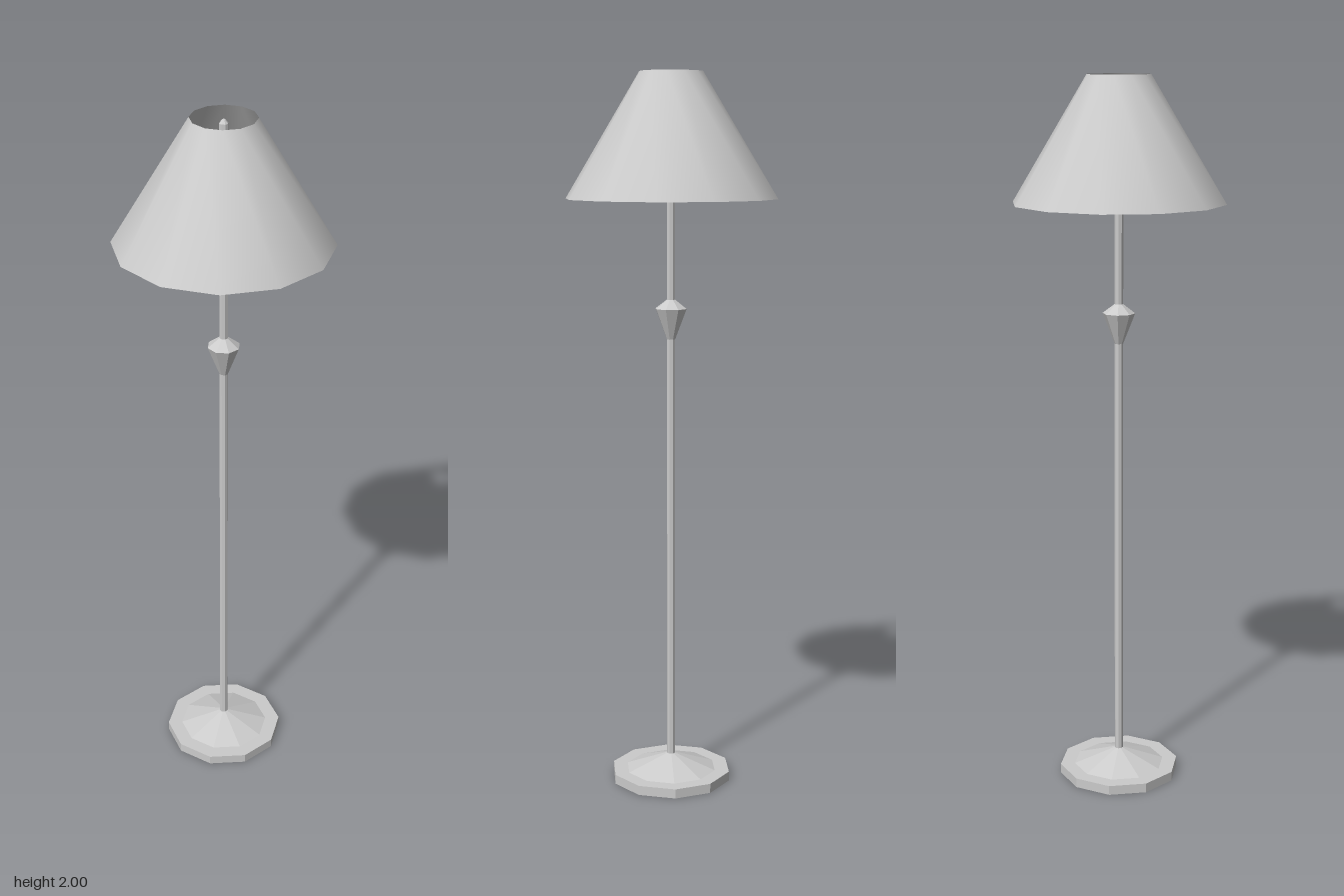
import * as THREE from 'three';

// Turn a [radius, height] profile (bottom to top) around the y axis
function turned(name, profile, sides, startAngle, options = {}) {
  const points = profile.map(([r, y]) => new THREE.Vector2(r, y));
  const geometry = new THREE.LatheGeometry(points, sides, startAngle);
  const material = new THREE.MeshStandardMaterial({ color: 0xcccccc, ...options });
  const mesh = new THREE.Mesh(geometry, material);
  mesh.name = name;
  return mesh;
}

export function createModel() {
  const lamp = new THREE.Group();
  lamp.name = 'floorLamp';
  const flat = { flatShading: true };
  const quarter = Math.PI / 2;
  const twist = quarter + 0.08;

  // Ten-sided foot: straight rim, narrow ledge, shallow cone
  lamp.add(turned('base', [
    [0, 0], [0.172, 0], [0.172, 0.027], [0.13, 0.027], [0.012, 0.07], [0, 0.07],
  ], 10, quarter, flat));

  // Slim pole up to the shade opening, with a small tapered tip
  lamp.add(turned('pole', [
    [0.012, 0.05], [0.012, 1.985], [0.004, 1.995], [0, 1.995],
  ], 8, twist, flat));

  // Faceted knob on the pole
  lamp.add(turned('knob', [
    [0.012, 1.275], [0.045, 1.36], [0.012, 1.385],
  ], 8, twist, flat));

  // Open, thin conical shade
  lamp.add(turned('shade', [
    [0.293, 1.66], [0.087, 2],
  ], 12, 0, { side: THREE.DoubleSide }));

  return lamp;
}
